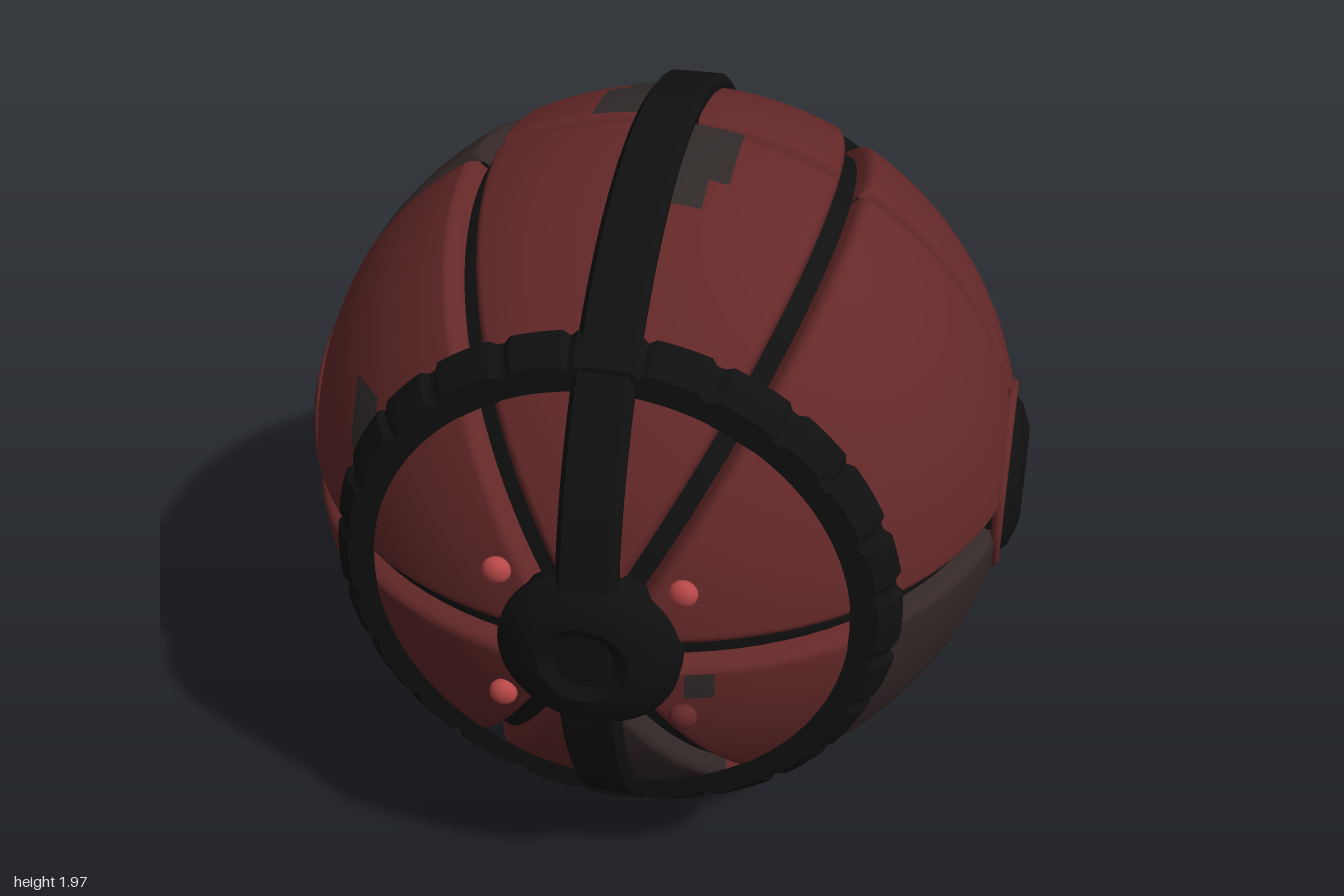
import * as THREE from 'three';
import { toCreasedNormals } from 'three/addons/utils/BufferGeometryUtils.js';

const R = 0.95, CORE = 0.9, BEVEL = 0.035, DROP = 0.06;
const RING_THETA = Math.acos(0.685 / R), HUB_THETA = Math.asin(0.2 / R);
const rad = THREE.MathUtils.degToRad;

const mat = (name, color) => {
  const m = new THREE.MeshStandardMaterial({ color });
  m.name = name;
  return m;
};

// Lathe around y with sharp edges kept
const lathe = (pts, seg) => toCreasedNormals(
  new THREE.LatheGeometry(pts.map(p => new THREE.Vector2(p[0], p[1])), seg), 0.5);

// Places row i of n with extra rows inside both bevels; returns distance along width w
function warp(i, n, w) {
  const e = Math.min(BEVEL, w / 3);
  if (i <= 4) return e * i / 4;
  if (i >= n - 4) return w - e * (n - i) / 4;
  return e + (w - 2 * e) * (i - 4) / (n - 8);
}

const bevelDrop = d => d >= BEVEL ? 0 : DROP * (1 - Math.sqrt(1 - (1 - d / BEVEL) ** 2));

// Armour panel between two meridians around the z axis, rounded off at its seams
function panelGeometry(a, b, gapA, gapB, thetaHi, thetaLo) {
  const N = 26, g = new THREE.PlaneGeometry(1, 1, N, N), p = g.attributes.position;
  for (let k = 0; k < p.count; k++) {
    const i = k % (N + 1), j = N - Math.floor(k / (N + 1));
    const length = R * (thetaHi - thetaLo), along = warp(j, N, length);
    const theta = thetaHi - along / R, s = R * Math.sin(theta);
    const a0 = a + Math.asin(gapA / s), b0 = b - Math.asin(gapB / s);
    const width = (b0 - a0) * s, across = warp(i, N, width);
    let d = 1;
    if (gapA < 0.05) d = Math.min(d, across);
    if (gapB < 0.05) d = Math.min(d, width - across);
    d = Math.min(d, Math.abs(theta - Math.PI / 2) * R - 0.004);
    const r = R - bevelDrop(Math.max(d, 0)), phi = a0 + across / s;
    p.setXYZ(k, r * Math.sin(theta) * Math.cos(phi), r * Math.sin(theta) * Math.sin(phi), r * Math.cos(theta));
  }
  g.computeVertexNormals();
  return g;
}

// Thin worn patch lying on the sphere, laid out facing +z
function patchGeometry(x0, x1, y0, y1) {
  const g = new THREE.PlaneGeometry(x1 - x0, y1 - y0, 8, 8).translate((x0 + x1) / 2, (y0 + y1) / 2, 0);
  const p = g.attributes.position, r = R + 0.005;
  for (let k = 0; k < p.count; k++) {
    p.setZ(k, Math.sqrt(r * r - p.getX(k) ** 2 - p.getY(k) ** 2));
  }
  g.computeVertexNormals();
  return g;
}

// Ring band with shallow grooves beside every seam
function ringGeometry() {
  const g = new THREE.LatheGeometry([[0.6, 0.63], [0.7, 0.635], [0.72, 0.655], [0.707, 0.695], [0.668, 0.735], [0.6, 0.735]]
    .map(q => new THREE.Vector2(q[0], q[1])), 240);
  const p = g.attributes.position;
  for (let k = 0; k < p.count; k++) {
    const deg = THREE.MathUtils.radToDeg(Math.atan2(p.getZ(k), p.getX(k)));
    const off = Math.abs(deg - Math.round(deg / 60) * 60);
    const s = Math.abs(off - 8) < 1.3 || Math.abs(off - 22) < 1 ? 0.98 : 1;
    p.setXYZ(k, p.getX(k) * s, p.getY(k), p.getZ(k) * s);
  }
  return toCreasedNormals(g, 0.5);
}

// Round dished cap, its face at height top
const hubGeometry = top => lathe([[0.2, -0.15], [0.225, -0.1], [0.225, -0.06], [0.19, -0.025], [0.13, -0.002],
  [0.11, 0], [0.085, -0.014], [0.07, -0.02], [0.0001, -0.014]].map(q => [q[0], q[1] + top]), 48);

export function createModel() {
  const red = mat('dark red paint', 0x642828);
  const grey = mat('brown grey panel', 0x342828);
  const worn = mat('worn patch', 0x302a29);
  const black = mat('black frame', 0x101010);
  const light = mat('light red lamp', 0xb84848);

  const model = new THREE.Group();
  model.name = 'panelledSphere';
  const body = new THREE.Group();
  body.name = 'body';
  body.position.y = 0.985;
  model.add(body);
  const add = (name, geometry, material) => {
    const m = new THREE.Mesh(geometry, material);
    m.name = name;
    body.add(m);
    return m;
  };

  add('core', new THREE.SphereGeometry(CORE, 96, 64), black);

  // Panels: eight wedges, front and back, inside and outside the ring
  const SEAM = 0.024, BAND = 0.06;
  const wedges = [[0, 60], [60, 90], [90, 120], [120, 180], [180, 240], [240, 270], [270, 300], [300, 360]];
  const edge = deg => (deg % 180 === 90 ? BAND : SEAM);
  const H = Math.PI / 2, eq = 0.008 / R;
  for (const [a, b] of wedges) {
    for (const front of [true, false]) {
      for (const inner of [true, false]) {
        let lo = inner ? HUB_THETA : RING_THETA, hi = inner ? RING_THETA : H - eq;
        if (!front) [lo, hi] = [Math.PI - hi, Math.PI - lo];
        const isGrey = front ? (a === 300 && !inner) || (a === 270 && inner) : a === 120;
        add(inner ? 'innerPanel' : 'outerPanel',
          panelGeometry(rad(a), rad(b), edge(a), edge(b), hi, lo), isGrey ? grey : red);
      }
    }
  }

  // Vertical band around the whole sphere
  add('verticalBand', lathe([[0.88, -0.075], [0.965, -0.075], [0.985, -0.06], [0.985, 0.06], [0.965, 0.075], [0.88, 0.075]], 128)
    .rotateZ(Math.PI / 2), black);

  for (const s of [1, -1]) {
    // Ring bands and hubs
    add('ringBand', ringGeometry().rotateX(s * H), black);
    add('endHub', hubGeometry(1).rotateX(s * H), black);
    add('sideHub', hubGeometry(0.975).rotateZ(-s * H), black);
    add('sideHubRim', new THREE.TorusGeometry(0.24, 0.014, 8, 64).rotateY(H).translate(s * 0.919, 0, 0), red);

    // Lamps around each end hub, one of them unlit
    for (const x of [1, -1]) {
      for (const y of [1, -1]) {
        const unlit = s > 0 ? x > 0 && y < 0 : x < 0 && y > 0;
        const lamp = add('lamp', new THREE.SphereGeometry(0.036, 20, 14), unlit ? red : light);
        lamp.scale.z = 0.7;
        lamp.position.set(x * 0.225, y * 0.19, s * 0.915);
      }
    }

    // Worn patches beside the band, above and below
    for (const [x0, x1, y0, y1] of [[0.07, 0.15, 0.235, 0.33], [0.07, 0.2, 0.02, 0.235]]) {
      add('wornPatch', patchGeometry(-x1, -x0, y0, y1).rotateX(-s * H), worn);
      add('wornPatch', patchGeometry(x0, x1, -y1, -y0).rotateX(-s * H), worn);
    }

    // Worn patches beside the ring and the end hub
    const turn = s > 0 ? 0 : Math.PI;
    add('wornPatch', patchGeometry(s > 0 ? -0.68 : 0.6, s > 0 ? -0.6 : 0.68, 0.28, 0.43).rotateY(turn), worn);
    add('wornPatch', patchGeometry(0.23, 0.3, -0.13, -0.05).rotateY(turn), worn);
  }

  return model;
}
